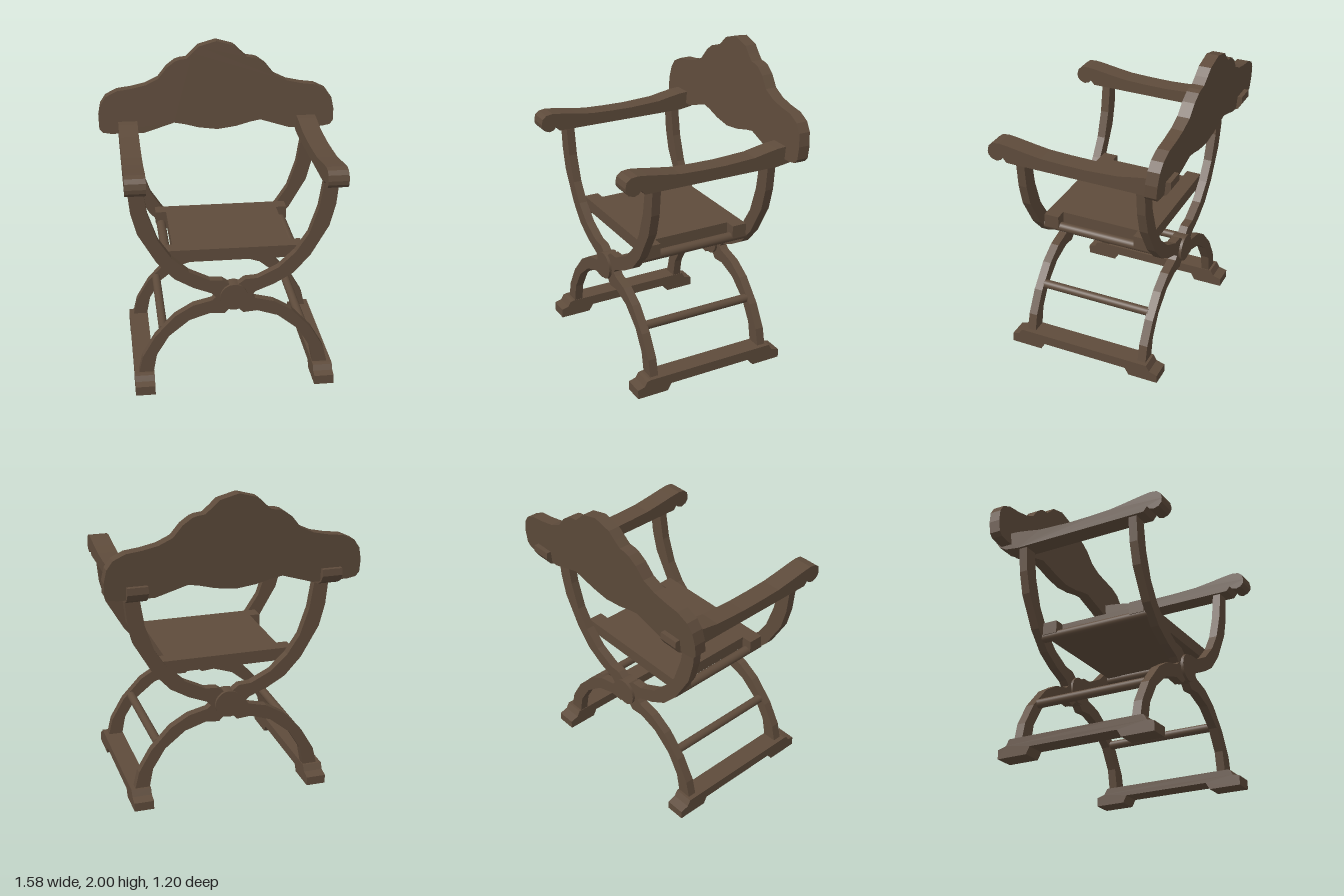
import * as THREE from 'three';

const wood = new THREE.MeshStandardMaterial({ color: 0x5e4b3b });
wood.name = 'dark walnut';

const toShape = (pts) => new THREE.Shape(pts.map(([x, y]) => new THREE.Vector2(x, y)));
const mirrorX = (pts) => pts.map(([x, y]) => [-x, y]).reverse();

// Extrudes an outline along z, centred on z = 0
function slab(pts, depth) {
  const geo = new THREE.ExtrudeGeometry(toShape(pts), { depth, bevelEnabled: false });
  return geo.translate(0, 0, -depth / 2);
}

// Extrudes a side profile given as (z, y) across x, centred on x = 0
const sideSlab = (pts, width) => slab(pts, width).rotateY(-Math.PI / 2);

export function createModel() {
  const chair = new THREE.Group();
  chair.name = 'foldingArmchair';
  const add = (name, geo, x = 0, y = 0, z = 0) => {
    const mesh = new THREE.Mesh(geo, wood);
    mesh.name = name;
    mesh.position.set(x, y, z);
    chair.add(mesh);
    return mesh;
  };
  const rod = (r, length) => new THREE.CylinderGeometry(r, r, length, 24).rotateX(Math.PI / 2);

  // Curved crossing legs: right half of the outline, then mirrored
  const legHalf = [
    [0.03, 0.7], [0.07, 0.73], [0.148, 0.735], [0.28, 0.8], [0.386, 0.9], [0.465, 1.02],
    [0.523, 1.19], [0.555, 1.39], [0.645, 1.39], [0.627, 1.21], [0.59, 1.07], [0.476, 0.873],
    [0.37, 0.757], [0.254, 0.69], [0.14, 0.645], [0.113, 0.617], [0.135, 0.595],
    [0.254, 0.566], [0.37, 0.497], [0.497, 0.36], [0.58, 0.217], [0.61, 0.09], [0.517, 0.09],
    [0.49, 0.23], [0.41, 0.36], [0.28, 0.465], [0.148, 0.508], [0.06, 0.5], [0.03, 0.53],
  ];
  const legGeo = slab([...legHalf, ...mirrorX(legHalf)], 0.055);
  for (const [side, s] of [['front', 1], ['rear', -1]]) {
    add(side + 'CrossedLegs', legGeo, 0, 0, s * 0.392);
    add(side + 'Hub', rod(0.087, 0.088), 0, 0.617, s * 0.393);
  }

  // Armrest profile with a scroll at the front
  const armProfile = [
    [0.6, 1.43], [0.592, 1.465], [0.565, 1.487], [0.52, 1.493], [0.456, 1.485], [0.35, 1.468],
    [0.244, 1.453], [0.1, 1.447], [-0.05, 1.445], [-0.26, 1.455], [-0.34, 1.47], [-0.42, 1.483],
    [-0.5, 1.489], [-0.583, 1.49], [-0.587, 1.448], [-0.56, 1.406], [-0.51, 1.38], [-0.42, 1.368],
    [0.475, 1.372], [0.5, 1.402], [0.515, 1.382], [0.545, 1.372], [0.578, 1.383], [0.597, 1.405],
  ];

  // Sled foot profile, raised in the middle
  const footProfile = [
    [0.52, 0], [0.52, 0.06], [0.475, 0.072], [0.456, 0.105], [0.435, 0.11],
    [-0.435, 0.11], [-0.456, 0.072], [-0.51, 0.056], [-0.51, 0],
    [-0.313, 0], [-0.29, 0.045], [0.286, 0.045], [0.313, 0],
  ];

  const armGeo = sideSlab(armProfile, 0.126);
  const footGeo = sideSlab(footProfile, 0.125);
  for (const [side, s] of [['left', 1], ['right', -1]]) {
    add(side + 'Armrest', armGeo, s * 0.597);
    add(side + 'Foot', footGeo, s * 0.572);
    add(side + 'SeatRod', rod(0.03, 0.74), s * 0.405, 0.832, 0);
    add(side + 'Stretcher', rod(0.028, 0.74), s * 0.443, 0.382, 0);
  }

  // Seat board, notched at both sides to clear the rods
  const seatHalf = [
    [0.44, 0.355], [0.44, 0.258], [0.37, 0.258], [0.37, -0.258], [0.44, -0.258], [0.44, -0.355],
  ];
  const seatGeo = slab([...seatHalf, ...mirrorX(seatHalf)], 0.08).rotateX(-Math.PI / 2);
  add('seat', seatGeo, 0, 0.878, 0);

  // Scalloped backrest, leaning back
  const backHalf = [
    [0, 2], [0.116, 1.968], [0.16, 1.925], [0.2, 1.89], [0.245, 1.885], [0.275, 1.875],
    [0.33, 1.835], [0.386, 1.765], [0.47, 1.725], [0.566, 1.704], [0.66, 1.692], [0.735, 1.656],
    [0.772, 1.603], [0.788, 1.524], [0.785, 1.444], [0.762, 1.418], [0.71, 1.408], [0.487, 1.407],
    [0.38, 1.44], [0.29, 1.468], [0.22, 1.455], [0.127, 1.43], [0, 1.413],
  ];
  const backGeo = slab([...backHalf, ...mirrorX(backHalf).slice(1, -1)], 0.075);
  const lean = new THREE.Matrix4().makeShear(0, 0, 0, -0.09, 0, 0);
  backGeo.applyMatrix4(lean);
  const pos = backGeo.attributes.position;
  // Set the lean explicitly from height
  const flat = slab([...backHalf, ...mirrorX(backHalf).slice(1, -1)], 0.075).attributes.position;
  for (let i = 0; i < pos.count; i++) {
    const y = flat.getY(i);
    pos.setXYZ(i, flat.getX(i), y, flat.getZ(i) - 0.509 - (y - 1.413) * 0.09);
  }
  backGeo.computeVertexNormals();
  add('backrest', backGeo);

  return chair;
}
